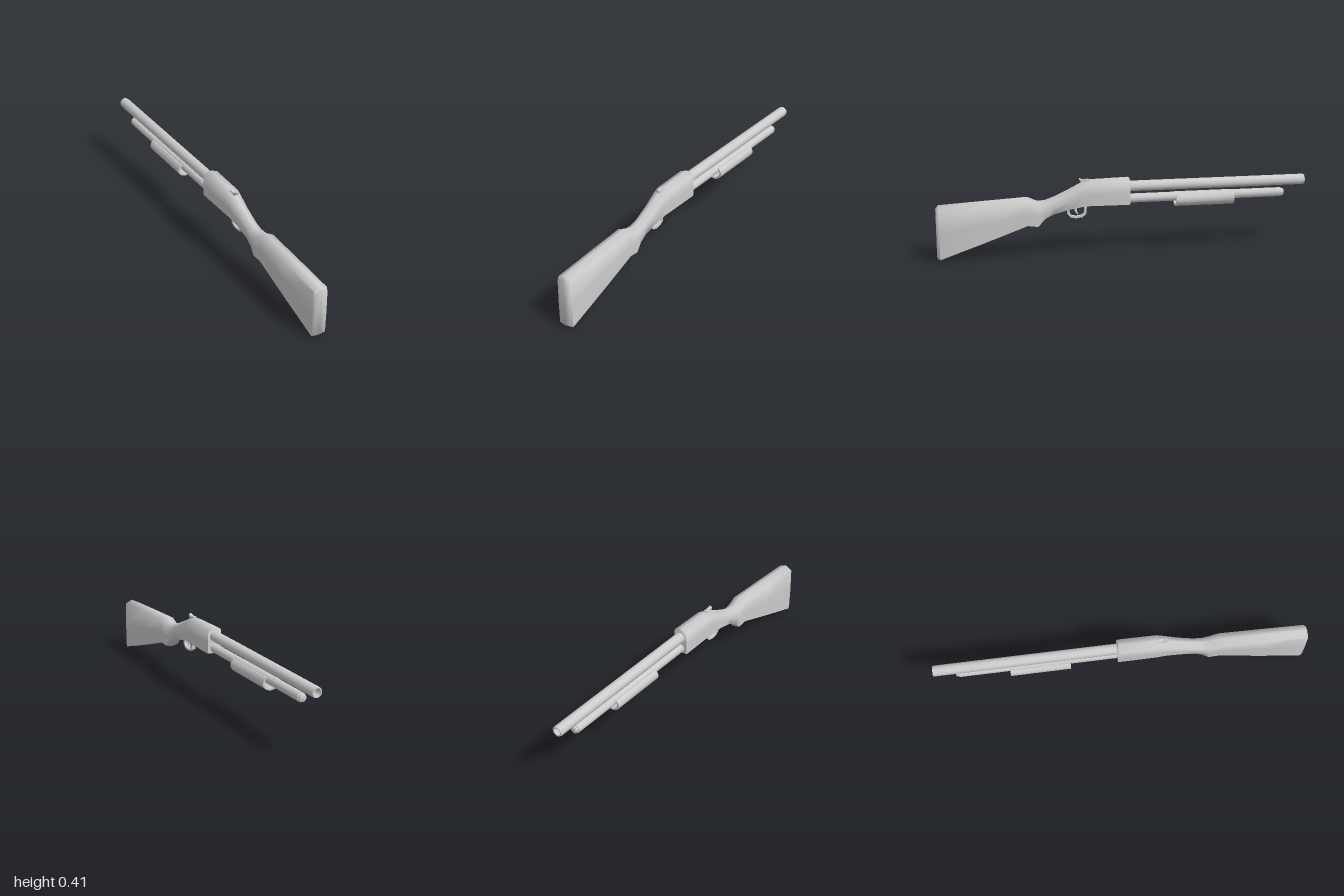
import * as THREE from 'three';
import { toCreasedNormals } from 'three/addons/utils/BufferGeometryUtils.js';

const material = new THREE.MeshStandardMaterial({ color: 0xcccccc, side: THREE.DoubleSide });

function add(group, name, geometry) {
  const mesh = new THREE.Mesh(geometry, material);
  mesh.name = name;
  group.add(mesh);
}

// Eight-cornered ridge section: z, top, bottom, half width, shoulder drops
function ring([z, top, bottom, w, dropTop, dropBottom]) {
  const s = top - dropTop, b = bottom + dropBottom, m = (s + b) / 2;
  return [[0, top, z], [w * 0.95, s, z], [w, m, z], [w * 0.97, b, z],
    [0, bottom, z], [-w * 0.97, b, z], [-w, m, z], [-w * 0.95, s, z]];
}

// Skin over the sections, running from the rear (+z) to the front (-z)
function loft(sections) {
  const rings = sections.map(ring), n = 8, last = rings.length - 1;
  const index = [];
  for (let i = 0; i < last; i++) {
    for (let k = 0; k < n; k++) {
      const a = i * n + k, b = i * n + (k + 1) % n;
      index.push(a, b, a + n, b, b + n, a + n);
    }
  }
  for (let k = 1; k < n - 1; k++) {
    index.push(0, k + 1, k, last * n, last * n + k, last * n + k + 1);
  }
  const geometry = new THREE.BufferGeometry();
  geometry.setAttribute('position', new THREE.Float32BufferAttribute(rings.flat(2), 3));
  geometry.setIndex(index);
  return toCreasedNormals(geometry, 1.25);
}

// Turned part along -z; points are [radius, distance forward]
function turned(points, y) {
  const profile = points.map(([r, d]) => new THREE.Vector2(r, d));
  return toCreasedNormals(new THREE.LatheGeometry(profile, 14).rotateX(-Math.PI / 2).translate(0, y, 0), 0.7);
}

// Flat plate drawn in (z, y) and centred across x
function plate(shape, width) {
  return new THREE.ExtrudeGeometry(shape, { depth: width, bevelEnabled: false, curveSegments: 8 })
    .translate(0, 0, -width / 2).rotateY(-Math.PI / 2);
}

const outline = (points) => points.map(([z, y]) => new THREE.Vector2(z, y));

export function createModel() {
  const group = new THREE.Group();

  // Butt stock, wrist and receiver in one flowing body
  add(group, 'stockAndReceiver', loft([
    [1.0, 0.28, 0.012, 0.034, 0.016, 0.006],
    [0.985, 0.298, 0.002, 0.04, 0.018, 0.006],
    [0.75, 0.311, 0.083, 0.041, 0.018, 0.007],
    [0.52, 0.323, 0.165, 0.041, 0.018, 0.008],
    [0.465, 0.299, 0.155, 0.039, 0.018, 0.01],
    [0.425, 0.302, 0.195, 0.035, 0.02, 0.012],
    [0.38, 0.318, 0.218, 0.033, 0.022, 0.012],
    [0.3, 0.355, 0.24, 0.034, 0.022, 0.01],
    [0.22, 0.396, 0.258, 0.038, 0.02, 0.006],
    [0.185, 0.405, 0.263, 0.042, 0.018, 0.004],
    [-0.02, 0.41, 0.261, 0.042, 0.018, 0.004],
    [-0.03, 0.405, 0.263, 0.041, 0.018, 0.004],
  ]));

  // Barrel with an open bore
  add(group, 'barrel', turned(
    [[0.029, 0.0], [0.029, 0.99], [0.027, 1.0], [0.021, 1.0], [0.021, 0.8], [0, 0.8]], 0.359));

  // Magazine tube with a stepped end cap
  add(group, 'magazineTube', turned(
    [[0.025, 0.0], [0.025, 0.87], [0.02, 0.873], [0.02, 0.883], [0.014, 0.887], [0, 0.888]], 0.292));

  // Pump grip: a trough wrapped around the underside of the tube
  const trough = [];
  const steps = 14, from = Math.PI - 0.85, sweep = Math.PI + 1.7;
  for (let i = 0; i <= steps; i++) {
    const a = from + sweep * i / steps;
    trough.push(new THREE.Vector2(0.049 * Math.cos(a), 0.28 + 0.041 * Math.sin(a)));
  }
  for (let i = steps; i >= 0; i--) {
    const a = from + sweep * i / steps;
    trough.push(new THREE.Vector2(0.038 * Math.cos(a), 0.283 + 0.035 * Math.sin(a)));
  }
  const grip = new THREE.ExtrudeGeometry(new THREE.Shape(trough), { depth: 0.32, bevelEnabled: false });
  add(group, 'pumpGrip', toCreasedNormals(grip.translate(0, 0, -0.6), 0.7));

  // Trigger guard loop
  const guard = new THREE.Shape(outline([[0.308, 0.245], [0.304, 0.218], [0.286, 0.2], [0.26, 0.195],
    [0.225, 0.2], [0.205, 0.215], [0.2, 0.265]]));
  guard.holes.push(new THREE.Path(outline([[0.294, 0.244], [0.292, 0.222], [0.28, 0.21], [0.258, 0.206],
    [0.23, 0.21], [0.216, 0.22], [0.212, 0.26]])));
  add(group, 'triggerGuard', plate(guard, 0.02));

  // Trigger
  add(group, 'trigger', plate(new THREE.Shape(outline([[0.27, 0.255], [0.265, 0.232], [0.25, 0.214],
    [0.246, 0.217], [0.254, 0.234], [0.252, 0.258]])), 0.01));

  // Hammer spur, tapering towards its tip
  const hammer = plate(new THREE.Shape(outline([[0.19, 0.39], [0.19, 0.407], [0.215, 0.403],
    [0.242, 0.413], [0.238, 0.403], [0.225, 0.388]])), 0.02);
  const p = hammer.attributes.position;
  for (let i = 0; i < p.count; i++) {
    if (p.getY(i) > 0.41) p.setX(i, p.getX(i) * 0.6);
  }
  hammer.computeVertexNormals();
  add(group, 'hammer', hammer);

  return group;
}
